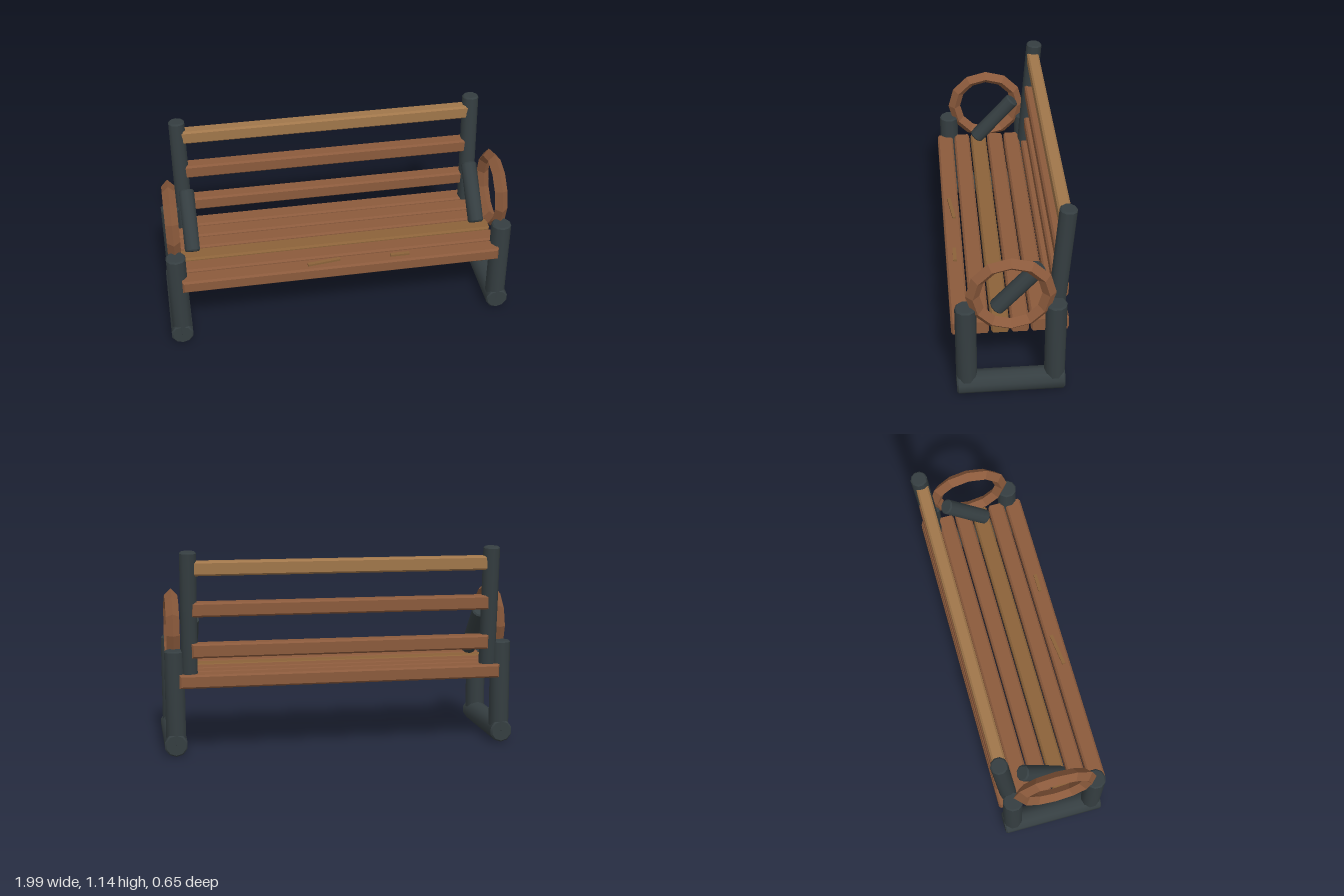
import * as THREE from 'three';
import { toCreasedNormals } from 'three/addons/utils/BufferGeometryUtils.js';

const material = (color, flatShading = false) => new THREE.MeshStandardMaterial({ color, flatShading });

export function createModel() {
  const bench = new THREE.Group();
  bench.name = 'bench';

  const iron = material(0x353e41);
  const wood = material(0x8b5a3c, true);
  const paleWood = material(0x8b6239, true);
  const lightWood = material(0xa0764a, true);

  const add = (name, geometry, mat, x, y, z) => {
    const mesh = new THREE.Mesh(geometry, mat);
    mesh.name = name;
    mesh.position.set(x, y, z);
    bench.add(mesh);
    return mesh;
  };

  // Box with chamfered edges, centred on its origin
  const plank = (w, h, d, b) => {
    const x = w / 2 - b, y = h / 2 - b;
    const shape = new THREE.Shape();
    shape.moveTo(-x, -y).lineTo(x, -y).lineTo(x, y).lineTo(-x, y).closePath();
    const geometry = new THREE.ExtrudeGeometry(shape, {
      depth: d - 2 * b, bevelEnabled: true, bevelSize: b, bevelThickness: b, bevelSegments: 1,
    });
    return geometry.translate(0, 0, b - d / 2);
  };

  // Round bar with chamfered ends between two points
  const bar = (name, from, to, r) => {
    const a = new THREE.Vector3(...from), c = new THREE.Vector3(...to);
    const half = a.distanceTo(c) / 2, b = 0.008;
    const profile = [[0, -half], [r - b, -half], [r, b - half], [r, half - b], [r - b, half], [0, half]]
      .map(([x, y]) => new THREE.Vector2(x, y));
    const geometry = toCreasedNormals(new THREE.LatheGeometry(profile, 10), 0.7);
    const middle = a.clone().add(c).multiplyScalar(0.5);
    const mesh = add(name, geometry, iron, middle.x, middle.y, middle.z);
    mesh.quaternion.setFromUnitVectors(new THREE.Vector3(0, 1, 0), c.sub(a).normalize());
  };

  // Seat slats
  for (let i = 0; i < 6; i++) {
    add('seatSlat', plank(1.82, 0.076, 0.096, 0.01), i === 2 ? paleWood : wood, 0, 0.427, 0.28 - i * 0.106);
  }

  // Backrest slats
  add('backSlat', plank(1.68, 0.08, 0.08, 0.01), wood, 0, 0.598, -0.26);
  add('backSlat', plank(1.68, 0.08, 0.08, 0.01), wood, 0, 0.825, -0.262);
  add('topBackSlat', plank(1.68, 0.08, 0.07, 0.01), lightWood, 0, 1.05, -0.27);

  // Raised splinters on the front slat
  add('splinter', new THREE.BoxGeometry(0.19, 0.012, 0.02), paleWood, -0.104, 0.471, 0.277).rotation.y = 0.12;
  add('splinter', new THREE.BoxGeometry(0.11, 0.012, 0.02), paleWood, 0.335, 0.471, 0.28);

  // Side frames
  for (const s of [-1, 1]) {
    bar('footBar', [s * 0.935, 0.068, -0.28], [s * 0.935, 0.068, 0.306], 0.065);
    bar('frontLeg', [s * 0.933, 0.065, 0.252], [s * 0.933, 0.595, 0.252], 0.057);
    bar('rearLeg', [s * 0.933, 0.065, -0.225], [s * 0.933, 0.595, -0.225], 0.057);
    bar('backPost', [s * 0.852, 0.385, -0.225], [s * 0.852, 1.142, -0.28], 0.047);
    bar('brace', [s * 0.832, 0.494, 0.087], [s * 0.832, 0.76, -0.147], 0.045);

    // Twelve-sided armrest ring with a diamond section
    const ring = new THREE.TorusGeometry(0.2, 0.037, 4, 12).rotateY(Math.PI / 2);
    add('armRing', ring, wood, s * 0.935, 0.67, 0.015);
  }

  return bench;
}
